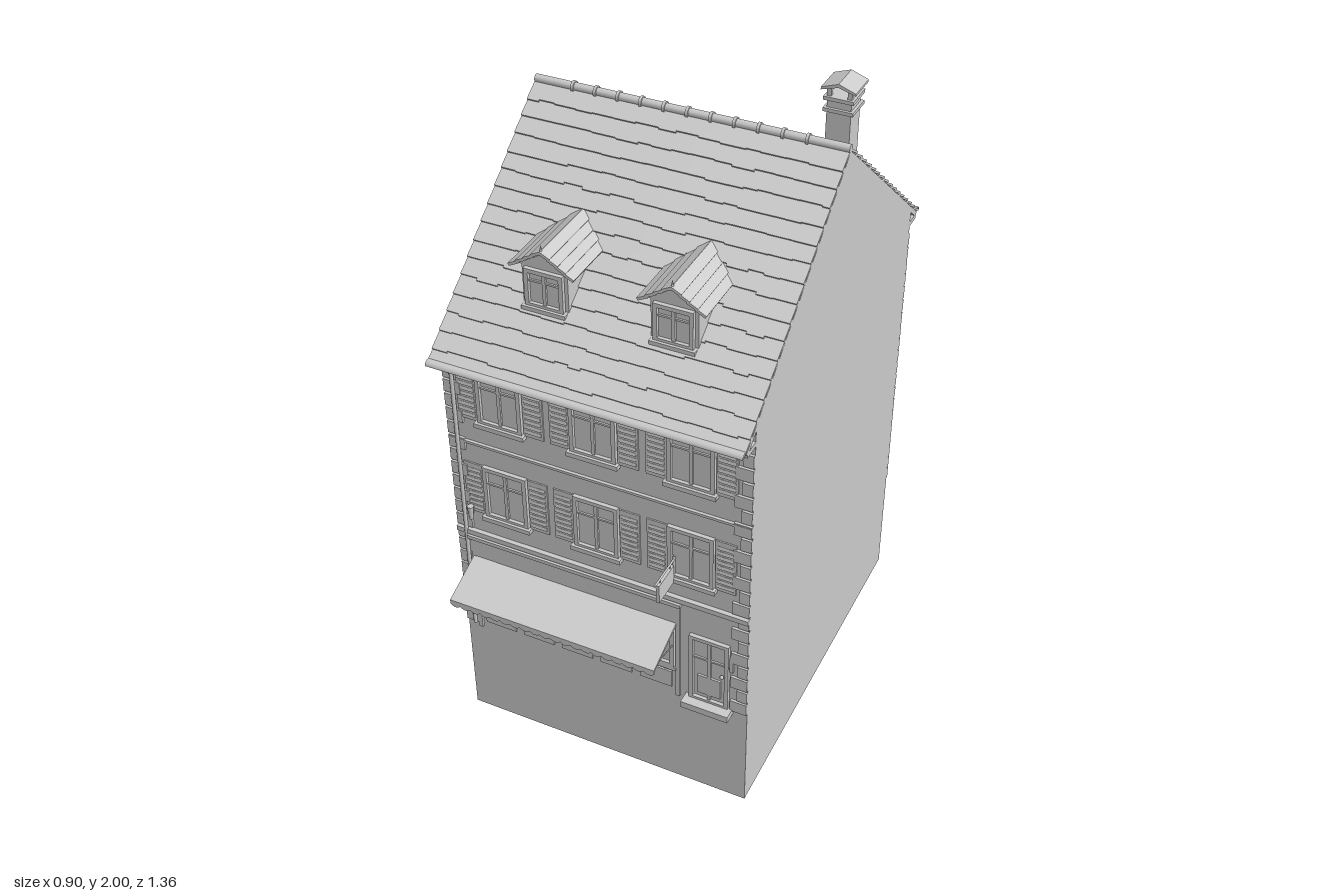
import * as THREE from 'three';
import { mergeGeometries } from 'three/addons/utils/BufferGeometryUtils.js';

const plaster = new THREE.MeshStandardMaterial({ color: 0xcccccc, side: THREE.DoubleSide });
plaster.name = 'plain grey';

const RIDGE_Z = -0.035, PITCH = Math.atan(0.835), HALF = 0.45, WALL = 0.565;

let seed = 7;
const rand = () => (seed = (seed * 16807) % 2147483647) / 2147483647;

function add(parent, name, geo, x = 0, y = 0, z = 0) {
  const m = new THREE.Mesh(geo, plaster);
  m.name = name;
  m.position.set(x, y, z);
  parent.add(m);
  return m;
}
// Box given by its x and y limits and its z limits
function block(parent, name, x0, x1, y0, y1, z0, z1) {
  return add(parent, name, new THREE.BoxGeometry(x1 - x0, y1 - y0, z1 - z0),
    (x0 + x1) / 2, (y0 + y1) / 2, (z0 + z1) / 2);
}
function group(parent, name, x = 0, y = 0, z = 0) {
  const g = new THREE.Group();
  g.name = name;
  g.position.set(x, y, z);
  parent.add(g);
  return g;
}
function poly(points) {
  return new THREE.Shape(points.map(p => new THREE.Vector2(...p)));
}
function extrude(shape, depth) {
  return new THREE.ExtrudeGeometry(shape, { depth, bevelEnabled: false });
}
function rod(parent, name, a, b, r = 0.003) {
  const path = new THREE.LineCurve3(new THREE.Vector3(...a), new THREE.Vector3(...b));
  return add(parent, name, new THREE.TubeGeometry(path, 1, r, 8));
}

// Framed opening with glazing bars; origin at bottom centre on the wall
function windowUnit(parent, name, x, y, z, w, h, sill = true) {
  const g = group(parent, name, x, y, z), b = 0.012;
  const frame = poly([[-w / 2, 0], [w / 2, 0], [w / 2, h], [-w / 2, h]]);
  frame.holes.push(poly([[-w / 2 + b, b], [w / 2 - b, b], [w / 2 - b, h - b], [-w / 2 + b, h - b]]));
  add(g, 'frame', extrude(frame, 0.012));
  block(g, 'glass', -w / 2 + b, w / 2 - b, b, h - b, 0, 0.002);
  block(g, 'mullion', -0.005, 0.005, b, h - b, 0, 0.008);
  block(g, 'transom', -w / 2 + b, w / 2 - b, h * 0.66, h * 0.66 + 0.006, 0, 0.007);
  if (sill) block(g, 'sill', -w / 2 - 0.008, w / 2 + 0.008, -0.01, 0.004, 0, 0.02);
  return g;
}
function shutter(parent, x, y, z, w, h) {
  const g = group(parent, 'shutter', x, y, z);
  block(g, 'board', -w / 2, w / 2, 0, h, 0, 0.004);
  for (let i = 0; i < 9; i++) {
    const s = block(g, 'slat', -w / 2 + 0.006, w / 2 - 0.006, 0.012 + i * 0.017, 0.022 + i * 0.017, 0.002, 0.006);
    s.rotation.x = -0.2;
  }
}
function door(parent, x, y, z, w, h) {
  const g = windowUnit(parent, 'door', x, y, z, w, h, false);
  block(g, 'lowerPanel', -w / 2 + 0.025, w / 2 - 0.025, 0.03, h * 0.4, 0, 0.008);
  add(g, 'knob', new THREE.SphereGeometry(0.006, 8, 6), w / 2 - 0.02, h * 0.5, 0.01);
  block(g, 'step', -w / 2 - 0.012, w / 2 + 0.012, -0.018, 0.004, 0, 0.04);
}

// Alternating corner stones, eave brackets, gutter and downpipe on one wall
function wallTrim(parent, pipeX) {
  for (const side of [-1, 1]) {
    for (let i = 0; i < 20; i++) {
      const w = i % 2 ? 0.03 : 0.05, y = 0.36 + i * 0.047;
      const a = side * HALF, b = side * (HALF - w);
      block(parent, 'cornerStone', Math.min(a, b), Math.max(a, b), y, y + 0.04, 0, 0.008);
    }
  }
  block(parent, 'eaveBoard', -HALF, HALF, 1.32, 1.335, 0, 0.05);
  for (let i = 0; i < 8; i++) {
    const x = -0.42 + i * 0.12;
    block(parent, 'eaveBracket', x - 0.005, x + 0.005, 1.305, 1.32, 0, 0.04);
  }
  const gutter = new THREE.CylinderGeometry(0.014, 0.014, 2 * HALF, 10, 1, true, Math.PI, Math.PI);
  gutter.rotateZ(Math.PI / 2);
  gutter.rotateX(Math.PI);
  add(parent, 'gutter', gutter, 0, 1.335, 0.066);
  const path = new THREE.CatmullRomCurve3([[1.33, 0.06], [1.31, 0.055], [1.295, 0.014], [1.26, 0.01], [0.36, 0.01]]
    .map(([y, z]) => new THREE.Vector3(pipeX, y, z)), false, 'catmullrom', 0.1);
  add(parent, 'downpipe', new THREE.TubeGeometry(path, 24, 0.006, 8));
}

// Overlapping courses of uneven tiles on a sloping board; z runs down the slope
function roofSlope(parent, name) {
  const g = group(parent, name), len = 0.822, rows = 16, step = len / rows, tiles = [];
  g.rotation.x = PITCH;
  block(g, 'roofBoard', -HALF, HALF, -0.014, 0, 0, len - 0.01);
  for (let r = 0; r < rows; r++) {
    for (let x = -HALF; x < HALF - 0.001;) {
      let w = 0.035 + rand() * 0.04;
      if (x + w > HALF - 0.02) w = HALF - x;
      const l = step + 0.008 + (r < rows - 1 ? rand() * 0.008 : 0);
      const t = new THREE.BoxGeometry(w, 0.006, l);
      t.translate(0, 0, l / 2);
      t.rotateX(-0.12);
      t.translate(x + w / 2, 0.002, r * step - 0.004);
      tiles.push(t);
      x += w;
    }
  }
  add(g, 'tiles', mergeGeometries(tiles));
}

function dormer(parent, x) {
  const g = group(parent, 'dormer', x);
  block(g, 'dormerBody', -0.066, 0.066, 1.465, 1.6, 0.24, 0.425);
  add(g, 'dormerGable', extrude(poly([[-0.075, 1.598], [0.075, 1.598], [0, 1.645]]), 0.23), 0, 0, 0.195);
  windowUnit(g, 'dormerWindow', 0, 1.48, 0.425, 0.112, 0.115);
  // Stepped tile courses on both sides
  for (const s of [-1, 1]) {
    for (let i = 0; i < 4; i++) {
      const slab = block(g, 'dormerTiles', -0.016, 0.016, -0.004, 0.004, 0, 0.445 - 0.2 - i * 0.018);
      slab.position.set(s * (0.012 + i * 0.0225), 1.651 - i * 0.0148, 0.445 - (0.245 - i * 0.018) / 2);
      slab.rotation.z = -s * 0.48;
    }
  }
  add(g, 'finial', new THREE.ConeGeometry(0.005, 0.025, 8), 0, 1.667, 0.437);
}

function shopFront(parent) {
  const g = group(parent, 'shopFront');
  block(g, 'signBoard', -0.41, 0.245, 0.63, 0.7, 0, 0.008);
  block(g, 'signCornice', -0.415, 0.25, 0.698, 0.71, 0, 0.018);
  for (const x of [-0.41, 0.233]) block(g, 'pilaster', x, x + 0.012, 0.345, 0.63, 0, 0.008);
  block(g, 'shopSill', -0.4, 0.235, 0.445, 0.457, 0, 0.012);
  for (let i = 0; i < 5; i++) {
    const x = -0.335 + i * 0.126;
    windowUnit(g, 'shopWindow', x, 0.457, 0, 0.12, 0.165, false);
    block(g, 'lowerPanel', x - 0.05, x + 0.05, 0.37, 0.43, 0, 0.005);
  }
  // Awning with scalloped valance and stays
  add(g, 'awning', extrude(poly([[0, 0.622], [0, 0.632], [0.146, 0.575], [0.146, 0.567]]), 0.64), 0.235)
    .rotation.y = -Math.PI / 2;
  const hem = new THREE.Shape();
  hem.moveTo(-0.405, 0.575);
  for (let i = 0; i < 20; i++) {
    const x = -0.405 + i * 0.032;
    hem.lineTo(x, 0.56);
    hem.quadraticCurveTo(x + 0.016, 0.545, x + 0.032, 0.56);
  }
  hem.lineTo(0.235, 0.575);
  add(g, 'valance', extrude(hem, 0.003), 0, 0, 0.144);
  for (const x of [-0.395, 0.225]) rod(g, 'awningStay', [x, 0.54, 0], [x, 0.57, 0.143], 0.002);
}

function hangingSign(parent) {
  const g = group(parent, 'hangingSign', 0.228);
  rod(g, 'signArm', [0, 0.862, 0], [0, 0.862, 0.12]);
  rod(g, 'signBrace', [0, 0.785, 0.004], [0, 0.875, 0.004], 0.004);
  block(g, 'signPlate', -0.005, 0.005, 0.79, 0.85, 0.015, 0.105);
  for (const z of [0.03, 0.09]) rod(g, 'signHook', [0, 0.845, z], [0, 0.864, z], 0.002);
}

export function createModel() {
  const house = new THREE.Group();
  house.name = 'townHouse';

  // Solid body with gables
  const body = extrude(poly([[-WALL, 0], [WALL, 0], [WALL, 1.373], [0, 1.845], [-WALL, 1.373]]), 2 * HALF);
  body.rotateY(-Math.PI / 2);
  add(house, 'body', body, HALF, 0, RIDGE_Z);

  // Roof
  const roof = group(house, 'roof', 0, 1.858, RIDGE_Z);
  roofSlope(roof, 'frontSlope');
  const back = group(roof, 'backHalf');
  back.rotation.y = Math.PI;
  roofSlope(back, 'backSlope');
  const cap = new THREE.CylinderGeometry(0.012, 0.012, 2 * HALF, 10);
  cap.rotateZ(Math.PI / 2);
  add(roof, 'ridgeTiles', cap, 0, 0.006);
  for (let i = 0; i < 11; i++) {
    const ring = new THREE.CylinderGeometry(0.016, 0.016, 0.008, 10);
    ring.rotateZ(Math.PI / 2);
    add(roof, 'ridgeJoint', ring, -0.335 + i * 0.067, 0.006);
  }
  for (const x of [-0.185, 0.18]) dormer(house, x);

  // Chimney
  const chimney = group(house, 'chimney', 0.385, 0, -0.14);
  block(chimney, 'stack', -0.033, 0.033, 1.7, 1.955, -0.033, 0.033);
  for (const y of [1.915, 1.947]) block(chimney, 'band', -0.041, 0.041, y, y + 0.01, -0.041, 0.041);
  for (const x of [-0.028, 0.028]) for (const z of [-0.028, 0.028])
    block(chimney, 'post', x - 0.006, x + 0.006, 1.955, 1.98, z - 0.006, z + 0.006);
  add(chimney, 'cap', extrude(poly([[-0.047, 1.976], [0, 1.99], [0.047, 1.976], [0.047, 1.983], [0, 2], [-0.047, 1.983]]), 0.09), 0, 0, -0.045);

  // Front wall
  const front = group(house, 'frontWall', 0, 0, RIDGE_Z + WALL);
  wallTrim(front, -0.42);
  for (const y of [1.13, 0.8]) for (const x of [-0.282, -0.003, 0.278]) {
    windowUnit(front, 'window', x, y, 0, 0.135, 0.178);
    for (const s of [-1, 1]) shutter(front, x + s * 0.1, y, 0, 0.06, 0.175);
  }
  block(front, 'stringCourse', -HALF, HALF, 1.046, 1.054, 0, 0.009);
  block(front, 'cornice', -HALF, HALF, 0.714, 0.73, 0, 0.014);
  shopFront(front);
  door(front, 0.335, 0.36, 0, 0.12, 0.245);
  block(front, 'letterBox', 0.397, 0.407, 0.51, 0.575, 0, 0.008);
  hangingSign(front);
  add(front, 'wallLamp', new THREE.CylinderGeometry(0.01, 0.006, 0.045, 8), -0.397, 0.8, 0.014);

  // Back wall, local x mirrored by the half turn
  const rear = group(house, 'backWall', 0, 0, RIDGE_Z - WALL);
  rear.rotation.y = Math.PI;
  wallTrim(rear, -0.42);
  [1.15, 0.82, 0.48].forEach((y, row) => [-0.285, 0, 0.275].forEach((x, col) => {
    if (row < 2 || col < 2) windowUnit(rear, 'backWindow', x, y, 0, 0.108, 0.155);
  }));
  door(rear, 0.335, 0.355, 0, 0.11, 0.235);
  for (let i = 0; i < 9; i++) {
    const x = -0.39 + i * 0.072, h = 0.015 + rand() * 0.025;
    block(rear, 'plinthStone', x, x + 0.06, 0.345, 0.345 + h, 0, 0.005);
  }
  return house;
}
